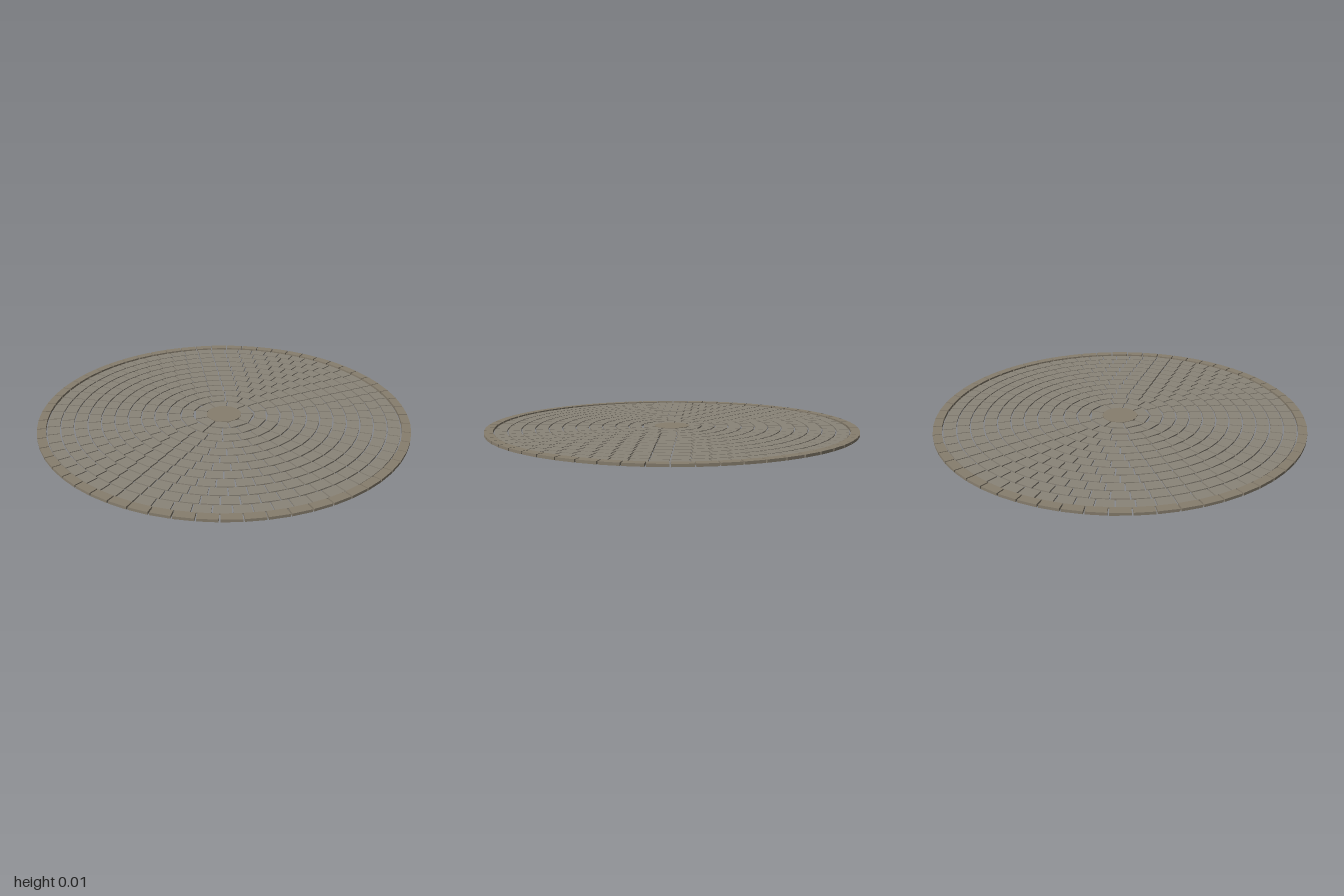
import * as THREE from 'three';
import { mergeGeometries } from 'three/addons/utils/BufferGeometryUtils.js';

const GAP = 0.007;          // mortar gap between stones
const CENTRE = 0.095;       // radius of the middle stone
const KERB = 0.95;          // inner radius of the kerb
const RINGS = 12;
const STONE_LENGTH = 0.088;

// one straight-sided wedge stone lying on y = 0
function stone(inner, outer, angle, step, height) {
  const corner = (r, side) => {
    const a = angle + side * (step / 2 - GAP / 2 / r);
    return new THREE.Vector2(Math.cos(a) * r, Math.sin(a) * r);
  };
  const shape = new THREE.Shape([
    corner(inner, -1), corner(outer, -1), corner(outer, 1), corner(inner, 1),
  ]);
  const geometry = new THREE.ExtrudeGeometry(shape, { depth: height, bevelEnabled: false });
  return geometry.rotateX(-Math.PI / 2);
}

// a full circle of stones merged into one mesh
function stoneRing(name, inner, outer, count, offset, height, material) {
  const step = (Math.PI * 2) / count;
  const stones = [];
  for (let i = 0; i < count; i++) {
    stones.push(stone(inner, outer, Math.PI / 2 + (i + offset) * step, step, height));
  }
  const mesh = new THREE.Mesh(mergeGeometries(stones), material);
  mesh.name = name;
  return mesh;
}

export function createModel() {
  const group = new THREE.Group();
  group.name = 'roundPaving';

  const paverGrey = new THREE.MeshStandardMaterial({ color: 0x8a8478 });
  paverGrey.name = 'paver grey';
  const kerbGrey = new THREE.MeshStandardMaterial({ color: 0x877e6e });
  kerbGrey.name = 'kerb grey';

  // middle stone
  const height = 0.008;
  const centre = new THREE.Mesh(
    new THREE.CylinderGeometry(CENTRE, CENTRE, height + 0.002, 16).toNonIndexed(), kerbGrey);
  centre.geometry.computeVertexNormals();
  centre.position.y = (height + 0.002) / 2;
  centre.name = 'centreStone';
  group.add(centre);

  // concentric courses, every other one shifted by half a stone
  const width = (KERB - CENTRE) / RINGS;
  for (let i = 0; i < RINGS; i++) {
    const inner = CENTRE + i * width;
    const count = Math.round((Math.PI * 2 * (inner + width / 2)) / STONE_LENGTH);
    group.add(stoneRing(`paverRing${i + 1}`, inner + GAP / 2, inner + width - GAP / 2,
      count, (i % 2) / 2, height, paverGrey));
  }

  // raised kerb around the edge
  group.add(stoneRing('kerb', KERB + GAP / 2, 1, 60, 0, 0.014, kerbGrey));
  return group;
}
